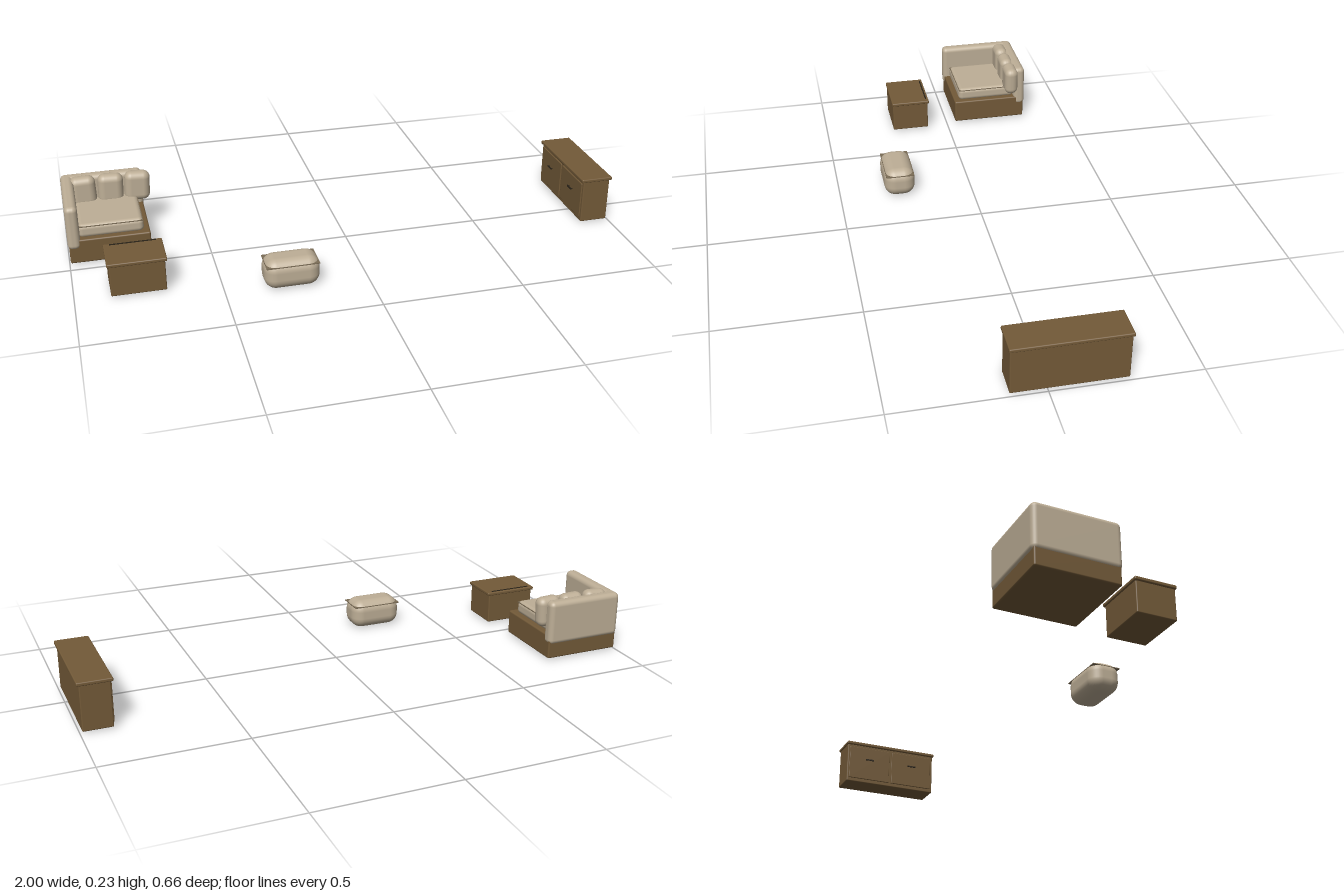
import * as THREE from 'three';
import { RoundedBoxGeometry } from 'three/addons/geometries/RoundedBoxGeometry.js';

const mat = (name, color) => {
  const m = new THREE.MeshStandardMaterial({ color });
  m.name = name;
  return m;
};

export function createModel() {
  const wood = mat('brown wood', 0x735a38);
  const fabric = mat('beige fabric', 0xbdae96);
  const piping = mat('dark piping', 0x7a6c56);
  const metal = mat('dark metal', 0x2b2419);

  const model = new THREE.Group();
  model.name = 'loungeFurniture';
  const group = (name) => {
    const g = new THREE.Group();
    g.name = name;
    model.add(g);
    return g;
  };

  // Box given by its extents on each axis; r rounds the edges
  const box = (parent, name, material, [x0, x1], [y0, y1], [z0, z1], r = 0) => {
    const size = [x1 - x0, y1 - y0, z1 - z0];
    const geo = r > 0 ? new RoundedBoxGeometry(...size, 4, r) : new THREE.BoxGeometry(...size);
    const mesh = new THREE.Mesh(geo, material);
    mesh.name = name;
    mesh.position.set((x0 + x1) / 2, (y0 + y1) / 2, (z0 + z1) / 2);
    parent.add(mesh);
    return mesh;
  };

  // Corner seat: wooden base, two back panels, seat pad and loose cushions
  const sofa = group('cornerSeat');
  box(sofa, 'seatBase', wood, [-0.996, -0.708], [0.006, 0.096], [-0.326, -0.036], 0.006);
  box(sofa, 'backPanel', fabric, [-1, -0.706], [0.06, 0.225], [-0.332, -0.286], 0.018);
  box(sofa, 'sidePanel', fabric, [-1, -0.955], [0.06, 0.225], [-0.332, -0.03], 0.018);
  box(sofa, 'seatPad', fabric, [-0.96, -0.728], [0.09, 0.142], [-0.29, -0.056], 0.018);
  box(sofa, 'seatPiping', piping, [-0.958, -0.73], [0.133, 0.136], [-0.288, -0.058]);
  [[-0.922, 0.03], [-0.823, -0.03], [-0.726, -0.05]].forEach(([x, tilt], i) => {
    const c = box(sofa, 'backCushion' + (i + 1), fabric,
      [x - 0.046, x + 0.046], [0.12, 0.232], [-0.3, -0.246], 0.025);
    c.rotation.z = tilt;
  });

  // Low wooden chest with an overhanging lid and a hinge strip
  const chest = group('lowChest');
  box(chest, 'chestBody', wood, [-0.877, -0.688], [0.006, 0.122], [0.084, 0.228], 0.004);
  box(chest, 'chestLid', wood, [-0.884, -0.681], [0.117, 0.13], [0.079, 0.231], 0.004);
  box(chest, 'hingeStrip', metal, [-0.862, -0.702], [0.129, 0.132], [0.087, 0.092]);

  // Soft footstool with a piped seam
  const stool = group('footstool');
  box(stool, 'footstoolBody', fabric, [-0.365, -0.17], [0, 0.11], [0.216, 0.332], 0.042);
  box(stool, 'footstoolPiping', piping, [-0.36, -0.175], [0.088, 0.091], [0.221, 0.327]);

  // Sideboard whose doors face the seat
  const board = group('sideboard');
  box(board, 'sideboardBody', wood, [0.888, 0.992], [0.005, 0.17], [-0.26, 0.12], 0.004);
  box(board, 'sideboardTop', wood, [0.88, 1], [0.167, 0.18], [-0.264, 0.124], 0.004);
  for (const z of [-0.164, 0.022]) {
    box(board, 'sideboardDoor', wood, [0.884, 0.892], [0.02, 0.158], [z - 0.088, z + 0.088], 0.002);
    box(board, 'doorHandle', metal, [0.876, 0.88], [0.103, 0.108], [z - 0.017, z + 0.017]);
    for (const s of [-1, 1]) {
      const p = z + s * 0.013;
      box(board, 'handlePost', metal, [0.879, 0.886], [0.104, 0.107], [p - 0.002, p + 0.002]);
    }
  }
  return model;
}
